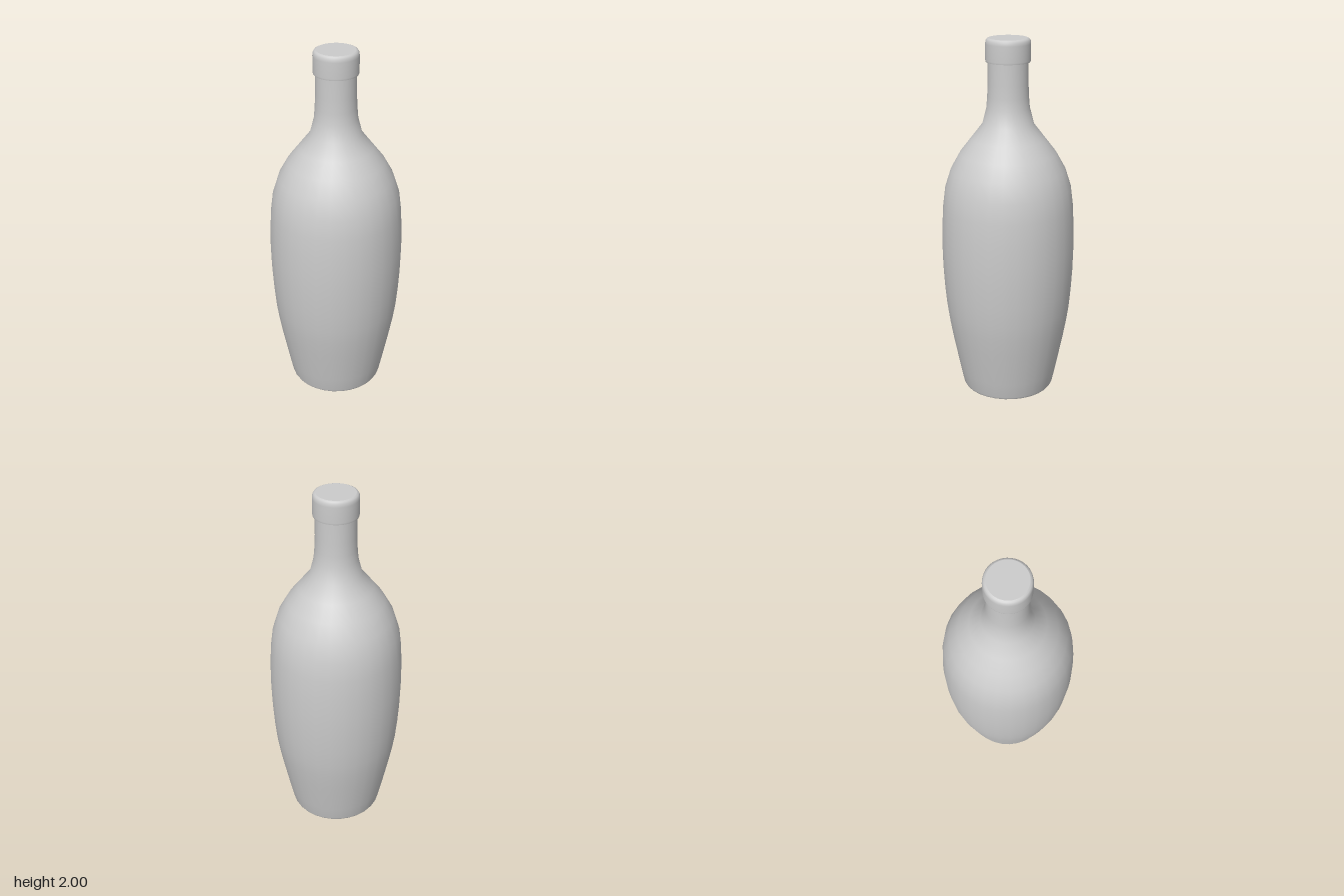
import * as THREE from 'three';

const material = new THREE.MeshStandardMaterial({ color: 0xcccccc });

// Revolves [radius, height] pairs, listed from bottom to top, with a corner on +x
function turned(name, profile, sides) {
  const points = profile.map(([r, y]) => new THREE.Vector2(r, y));
  const mesh = new THREE.Mesh(new THREE.LatheGeometry(points, sides, Math.PI / 2), material);
  mesh.name = name;
  return mesh;
}

export function createModel() {
  const bottle = new THREE.Group();
  bottle.name = 'bottle';

  // Flat underside
  bottle.add(turned('base', [[0, 0], [0.252, 0]], 30));

  // Tapered belly, rounded shoulder and slim neck
  bottle.add(turned('body', [
    [0.252, 0], [0.259, 0.012], [0.278, 0.1], [0.298, 0.2], [0.318, 0.3],
    [0.336, 0.4], [0.349, 0.49], [0.359, 0.6], [0.366, 0.72], [0.369, 0.85],
    [0.366, 0.97], [0.36, 1.08], [0.346, 1.19], [0.314, 1.29], [0.264, 1.38],
    [0.202, 1.46], [0.14, 1.54], [0.117, 1.63], [0.112, 1.69], [0.109, 1.76], [0.108, 1.88],
  ], 30));

  // Cap: underside ledge, side with a rounded rim, flat top
  bottle.add(turned('capLedge', [[0.1, 1.875], [0.119, 1.875]], 60));
  bottle.add(turned('capSide', [
    [0.119, 1.875], [0.121, 1.885], [0.121, 1.97], [0.119, 1.986], [0.113, 1.996], [0.104, 2],
  ], 60));
  bottle.add(turned('capTop', [[0.104, 2], [0, 2]], 60));

  return bottle;
}
